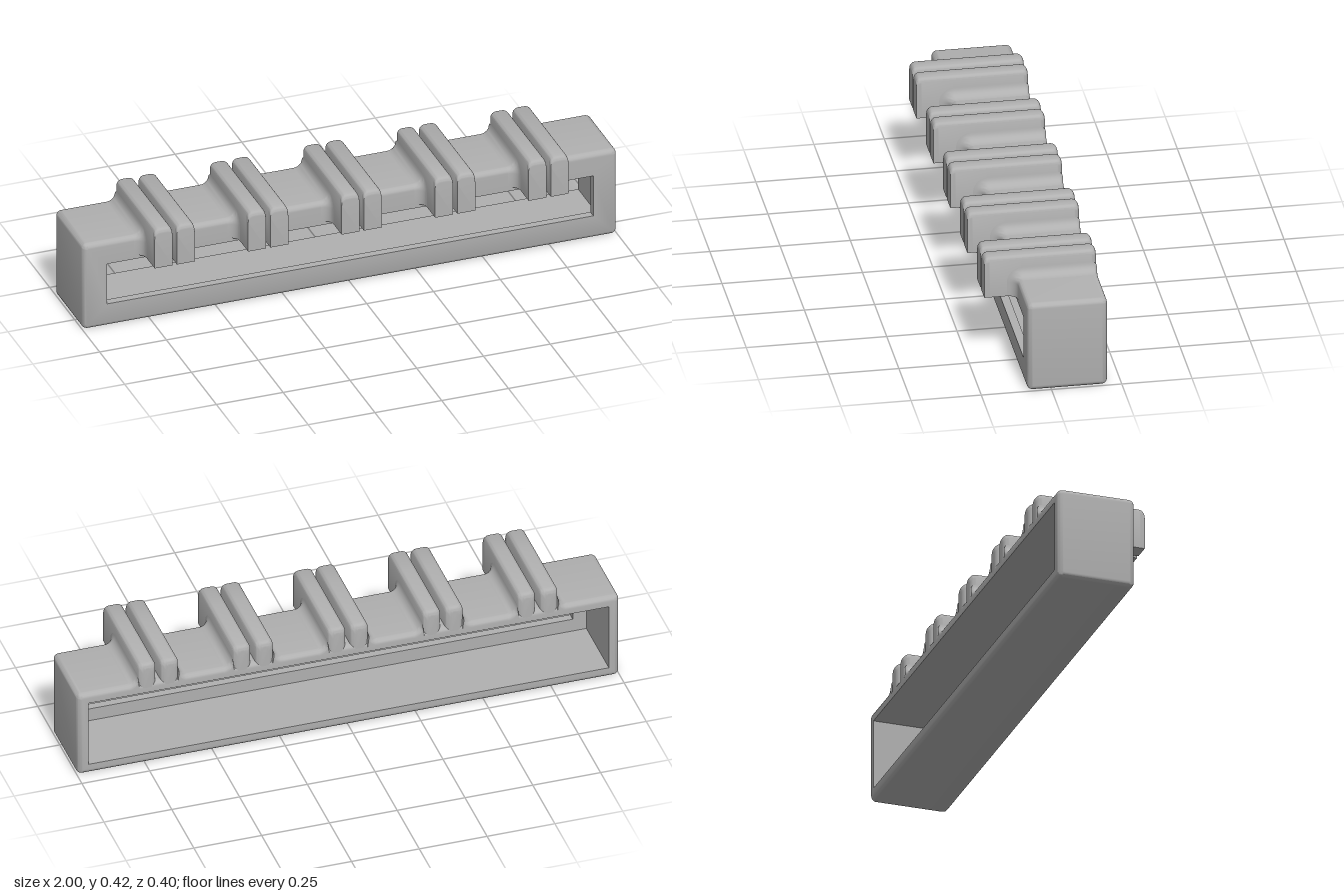
import * as THREE from 'three';
import { toCreasedNormals } from 'three/addons/utils/BufferGeometryUtils.js';

const R = 0.02;        // edge rounding
const FILLET = 0.035;  // blend between prongs and frame
const STEPS = 6;
const V = (x, y, z) => new THREE.Vector3(x, y, z);

// Skin a list of equal-length closed loops (counter-clockwise seen from the end they advance to).
function loft(sections, capped) {
  const pos = [];
  const tri = (a, b, c) => {
    const area = b.clone().sub(a).cross(c.clone().sub(a)).length();
    if (area > 1e-9) for (const p of [a, b, c]) pos.push(p.x, p.y, p.z);
  };
  const n = sections[0].length;
  for (let i = 0; i < sections.length - 1; i++) {
    const s = sections[i], t = sections[i + 1];
    for (let j = 0; j < n; j++) {
      const k = (j + 1) % n;
      tri(s[j], s[k], t[k]);
      tri(s[j], t[k], t[j]);
    }
  }
  if (capped) {
    const s = sections[0], t = sections[sections.length - 1];
    for (let j = 1; j < n - 1; j++) {
      tri(s[0], s[j + 1], s[j]);
      tri(t[0], t[j], t[j + 1]);
    }
  }
  const g = new THREE.BufferGeometry();
  g.setAttribute('position', new THREE.Float32BufferAttribute(pos, 3));
  return toCreasedNormals(g, 0.5);
}

// Rectangle loop with separate corner radii for the bottom and top.
function rectLoop(x0, x1, y0, y1, rBottom, rTop, z) {
  const loop = [];
  const corners = [[x1, y0, -1, 1, rBottom], [x1, y1, -1, -1, rTop], [x0, y1, 1, -1, rTop], [x0, y0, 1, 1, rBottom]];
  corners.forEach(([x, y, sx, sy, r], c) => {
    for (let i = 0; i <= STEPS; i++) {
      const a = (c - 1 + i / STEPS) * Math.PI / 2;
      loop.push(V(x + sx * r + r * Math.cos(a), y + sy * r + r * Math.sin(a), z));
    }
  });
  return loop;
}

// Quarter-turn angles from 0 to 90 degrees
const quarter = Array.from({ length: STEPS + 1 }, (_, i) => (i / STEPS) * Math.PI / 2);

// Hollow frame: open back, thin front lip around the window
function frameGeometry() {
  const profile = [
    [0.09, 0.055], [0.04, 0.055], [0.04, -0.2],
    ...quarter.map(a => [R * (1 - Math.sin(a)), -0.2 + R * (1 - Math.cos(a))]),
    ...quarter.map(a => [R * (1 - Math.cos(a)), 0.085 - R * (1 - Math.sin(a))]),
    [0.09, 0.085], [0.09, 0.055],
  ];
  return loft(profile.map(([d, z]) => {
    const r = Math.max(R - d, 0);
    return rectLoop(-1 + d, 1 - d, d, 0.34 - d, r, r, z);
  }), false);
}

// Prong: bar over the top of the frame with a tab hanging in front
function prongGeometry() {
  const w = 0.0335, top = 0.42;
  const sec = (z, bottom, drop, inset) =>
    rectLoop(-w + inset, w - inset, bottom, top - drop, 0, R, z);
  return loft([
    ...quarter.map(a => {
      const d = R * (1 - Math.sin(a));
      return sec(-0.2 + R * (1 - Math.cos(a)), 0.315, d, d);
    }),
    sec(0.07, 0.315, 0, 0),
    sec(0.07, 0.265, 0, 0),
    ...quarter.map(a => sec(0.2 - R + R * Math.sin(a), 0.265, R * (1 - Math.cos(a)), 0)),
  ], true);
}

// Concave blend that follows the frame's top and front beside a prong
function filletGeometry(side) {
  const path = [ // z, y, normal z, normal y
    ...quarter.map(a => [-0.2 + R * (1 - Math.cos(a)), 0.32 + R * Math.sin(a), 0, 1]),
    ...quarter.map(a => [0.065 + R * Math.sin(a), 0.32 + R * Math.cos(a), Math.sin(a), Math.cos(a)]),
    [0.085, 0.265, 1, 0],
  ];
  const curve = quarter.map(a => [FILLET * (1 - Math.sin(a)), FILLET * (1 - Math.cos(a))]);
  if (side < 0) curve.reverse();
  const section = [[-0.005, -0.005], ...curve];
  return loft(path.map(([z, y, nz, ny]) =>
    section.map(([dx, h]) => V(side * dx, y + ny * h, z + nz * h))), true);
}

export function createModel() {
  const grey = new THREE.MeshStandardMaterial({ color: 0xb0b0b0 });
  grey.name = 'grey';
  const model = new THREE.Group();
  model.name = 'prongedFrame';
  const add = (parent, name, geometry, x) => {
    const mesh = new THREE.Mesh(geometry, grey);
    mesh.name = name;
    mesh.position.x = x;
    parent.add(mesh);
  };

  add(model, 'frame', frameGeometry(), 0);

  // Five evenly spaced pairs of prongs
  const prong = prongGeometry();
  const fillets = { '-1': filletGeometry(-1), '1': filletGeometry(1) };
  for (let i = -2; i <= 2; i++) {
    const pair = new THREE.Group();
    pair.name = 'prongPair';
    pair.position.x = i * 0.35;
    for (const side of [-1, 1]) {
      add(pair, 'prong', prong, side * 0.0415);
      add(pair, 'prongFillet', fillets[side], side * 0.075);
    }
    model.add(pair);
  }
  return model;
}
